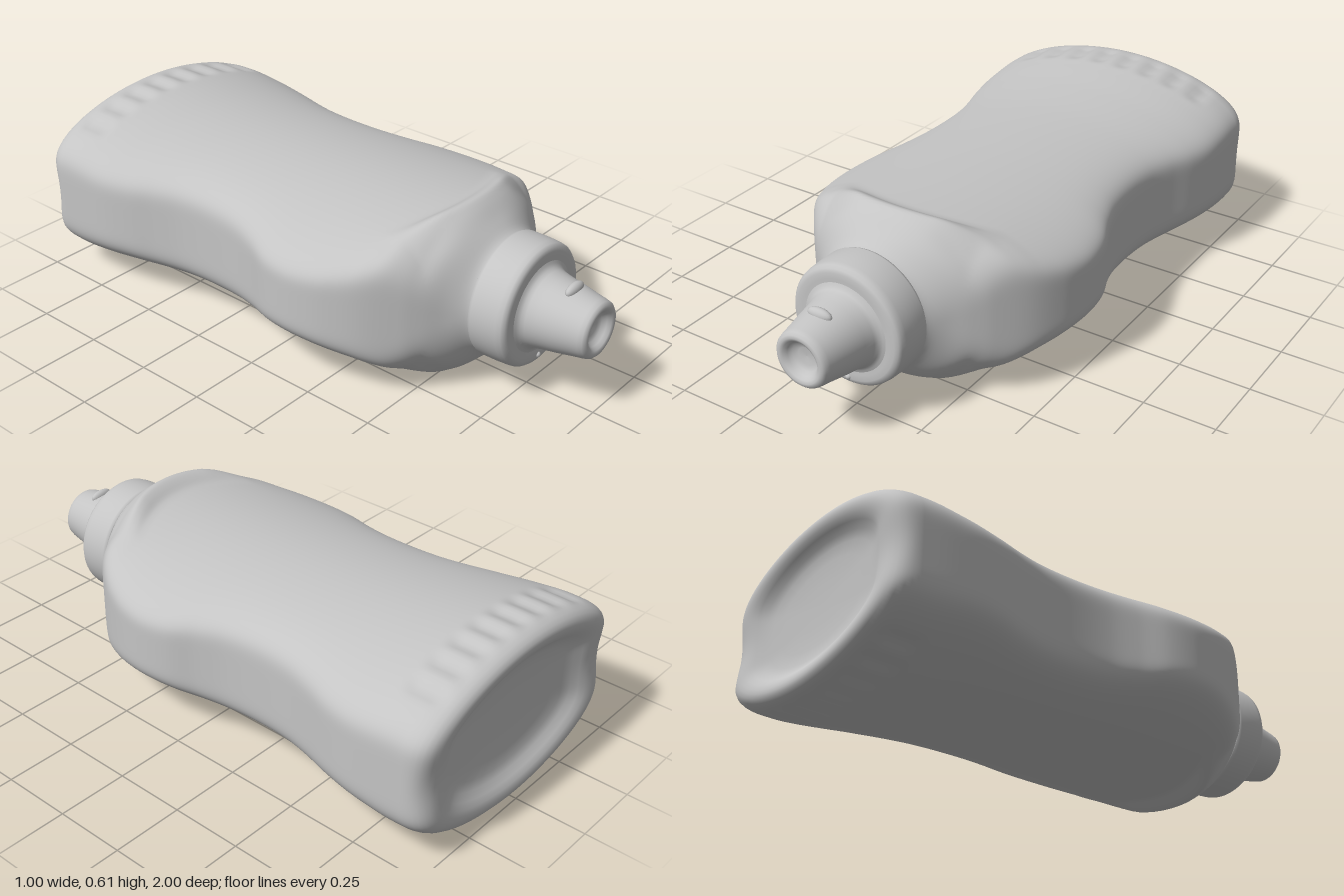
import * as THREE from 'three';

const CY = 0.302; // height of the bottle's long axis

// Smooth curve through [z, value] pairs
function along(table, z) {
  const last = table.length - 1;
  if (z <= table[0][0]) return table[0][1];
  if (z >= table[last][0]) return table[last][1];
  let i = 0;
  while (z > table[i + 1][0]) i++;
  const slope = (k) => {
    const a = table[Math.max(0, k - 1)], b = table[Math.min(last, k + 1)];
    return (b[1] - a[1]) / (b[0] - a[0]);
  };
  const d = table[i + 1][0] - table[i][0], t = (z - table[i][0]) / d;
  const t2 = t * t, t3 = t2 * t;
  return (2 * t3 - 3 * t2 + 1) * table[i][1] + (t3 - 2 * t2 + t) * d * slope(i)
    + (3 * t2 - 2 * t3) * table[i + 1][1] + (t3 - t2) * d * slope(i + 1);
}

const step = THREE.MathUtils.smoothstep;

// Half width of the waisted outline
const WIDTH = [[-0.95, 0.497], [-0.8, 0.5], [-0.7, 0.495], [-0.6, 0.474], [-0.5, 0.442], [-0.4, 0.418],
  [-0.28, 0.41], [-0.15, 0.42], [-0.05, 0.447], [0.05, 0.486], [0.14, 0.5], [0.22, 0.495], [0.3, 0.475],
  [0.4, 0.428], [0.5, 0.352], [0.55, 0.302], [0.6, 0.245], [0.645, 0.205], [0.67, 0.195]];
// Half height on the centre line, without the shoulder ridge
const HEIGHT = [[-0.95, 0.3], [-0.85, 0.302], [-0.75, 0.292], [-0.6, 0.275], [-0.4, 0.261], [-0.1, 0.257],
  [0.2, 0.26], [0.44, 0.266], [0.5, 0.271], [0.55, 0.27], [0.6, 0.245], [0.645, 0.21], [0.67, 0.2]];
// Extra height of the ridge between label panel and shoulder
const RIDGE = [[0.45, 0], [0.475, 0.004], [0.505, 0.022], [0.53, 0.031], [0.555, 0.021], [0.6, 0.003], [0.63, 0]];

// One point of the body's cross-section at depth z and angle t
function bodyPoint(z, scale, t) {
  const n = 7 - 5 * step(z, 0.42, 0.645);
  const c = Math.cos(t), s = Math.sin(t);
  const r = Math.pow(Math.abs(c) ** n + Math.abs(s) ** n, -1 / n);
  const x = r * c * along(WIDTH, z);
  // the shoulder ridge curves backwards and fades towards the sides
  const sweep = 1.1 * Math.min(x * x, 0.08) * step(z, 0.1, 0.4) * (1 - step(z, 0.52, 0.64));
  const crown = 0.47 * (1 - step(z, 0.52, 0.645));
  const ridge = along(RIDGE, z + sweep) * (1 - step(Math.abs(x), 0.14, 0.33));
  let h = along(HEIGHT, z + sweep) + ridge - crown * x * x;
  // scalloped grip flutes near the base
  const band = step(z, -0.96, -0.91) * (1 - step(z, -0.85, -0.79));
  const inside = 1 - step(Math.abs(x), 0.38, 0.42);
  h -= 0.012 * Math.sin(Math.PI * x / 0.1) ** 2 * band * inside;
  const y = r * s * h * scale;
  // shallow dent across the middle of the base
  const dent = 0.02 * Math.exp(-((y / 0.12) ** 2)) * (1 - step(z, -1, -0.9)) * step(scale, 0.5, 0.9);
  return [x * scale, y + CY, z + dent];
}

function bodyGeometry() {
  // recessed base and rounded rim as [z, scale], then the length of the bottle
  const rows = [[-0.945, 0.001], [-0.945, 0.25], [-0.948, 0.45], [-0.953, 0.58], [-0.965, 0.66],
    [-0.982, 0.72], [-0.994, 0.77], [-0.999, 0.82], [-1, 0.86], [-0.997, 0.9], [-0.988, 0.94],
    [-0.974, 0.968], [-0.957, 0.986], [-0.938, 0.996]];
  for (let z = -0.92; z < 0.671; z += 0.01) rows.push([z, 1]);
  const N = 240, pos = [], index = [];
  rows.forEach(([z, scale], i) => {
    for (let j = 0; j < N; j++) {
      pos.push(...bodyPoint(z, scale, (j / N) * Math.PI * 2));
      if (i === rows.length - 1) continue;
      const a = i * N + j, b = i * N + (j + 1) % N;
      index.push(a, b, b + N, a, b + N, a + N);
    }
  });
  const g = new THREE.BufferGeometry();
  g.setAttribute('position', new THREE.Float32BufferAttribute(pos, 3));
  g.setIndex(index);
  g.computeVertexNormals();
  return g;
}

// Turned part on the bottle's axis from [radius, z] pairs
function turned(profile) {
  const g = new THREE.LatheGeometry(profile.map(([r, z]) => new THREE.Vector2(r, z)), 72);
  return g.rotateX(Math.PI / 2).translate(0, CY, 0);
}

export function createModel() {
  const model = new THREE.Group();
  model.name = 'squeezeBottle';
  const plastic = new THREE.MeshStandardMaterial({ color: 0xc4c4c4 });
  plastic.name = 'grey plastic';

  const add = (name, geometry) => {
    const mesh = new THREE.Mesh(geometry, plastic);
    mesh.name = name;
    model.add(mesh);
    return mesh;
  };

  add('body', bodyGeometry());

  // Screw collar with softened edges
  add('collar', turned([[0.15, 0.648], [0.2, 0.648], [0.207, 0.652], [0.211, 0.662], [0.211, 0.715],
    [0.209, 0.755], [0.206, 0.772], [0.198, 0.782], [0.185, 0.786], [0.165, 0.786], [0.15, 0.785], [0.1, 0.784]]));

  // Tapered nozzle with a flared foot and a dished tip
  add('nozzle', turned([[0.16, 0.783], [0.145, 0.788], [0.135, 0.796], [0.129, 0.808], [0.122, 0.84],
    [0.114, 0.89], [0.104, 0.94], [0.098, 0.975], [0.094, 0.99], [0.086, 0.998], [0.076, 1], [0.066, 0.996],
    [0.057, 0.985], [0.048, 0.972], [0.03, 0.966], [0, 0.964]]));

  // Small catch on top of the nozzle
  const catchTab = add('nozzleCatch', new THREE.SphereGeometry(1, 20, 12));
  catchTab.scale.set(0.045, 0.022, 0.018);
  catchTab.position.set(0, CY + 0.108, 0.895);

  // Moulding nub on the collar's front face
  const nub = add('collarNub', new THREE.SphereGeometry(0.011, 12, 8));
  nub.position.set(0, 0.122, 0.782);

  return model;
}
